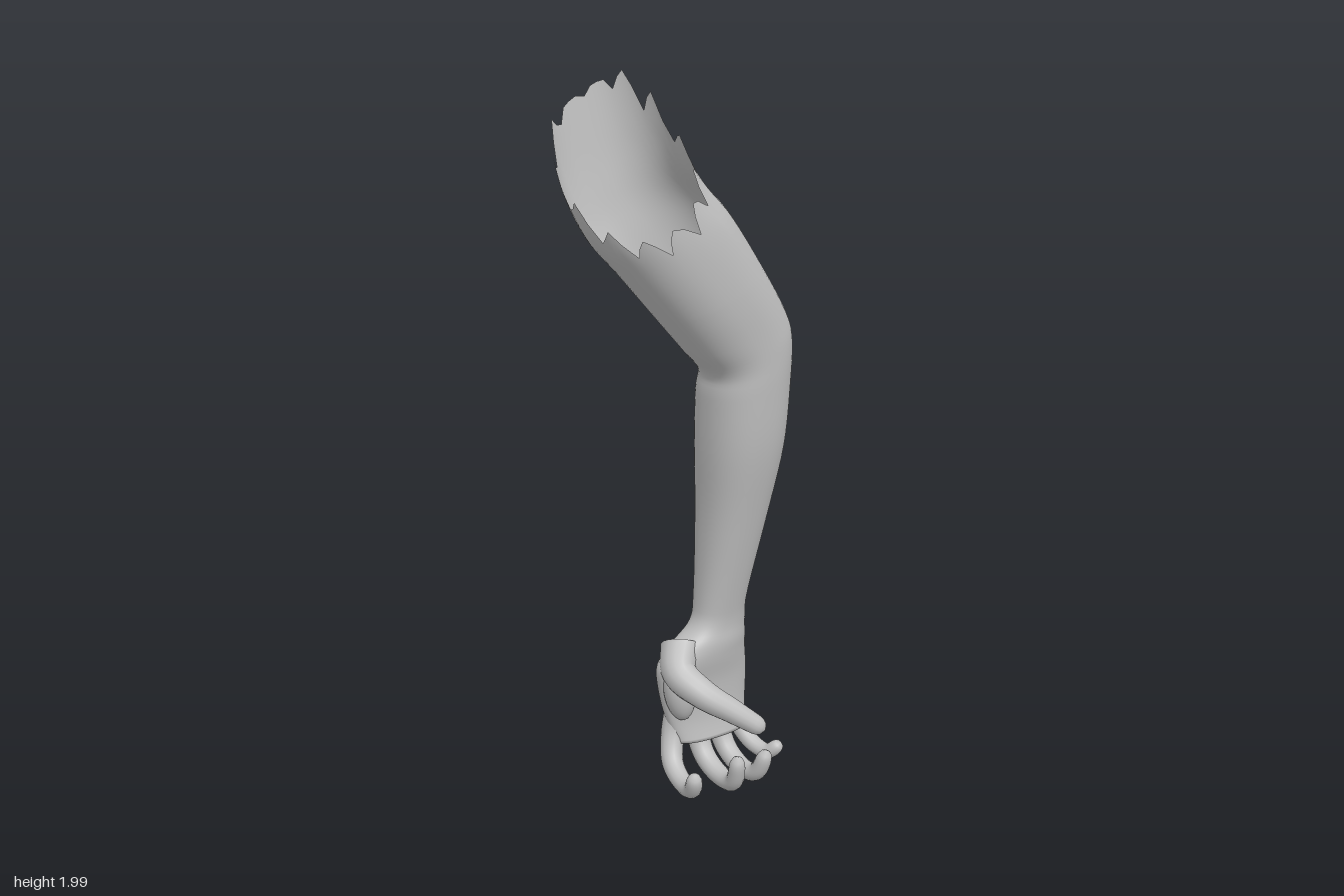
import * as THREE from 'three';
import { mergeVertices } from 'three/addons/utils/BufferGeometryUtils.js';

// Cross-sections from palm to torn end: inner x, y, outer x, y, front z, back z
const SECTIONS = [
  [0.01, 0.13, 0.24, 0.13, -0.015, -0.095],
  [-0.015, 0.2, 0.25, 0.2, -0.025, -0.12],
  [-0.04, 0.3, 0.252, 0.3, -0.02, -0.125],
  [-0.045, 0.37, 0.24, 0.38, -0.005, -0.125],
  [0.0, 0.42, 0.235, 0.425, 0.0, -0.122],
  [0.065, 0.475, 0.232, 0.48, -0.002, -0.12],
  [0.08, 0.56, 0.232, 0.56, 0.012, -0.125],
  [0.08, 0.8, 0.27, 0.8, 0.065, -0.135],
  [0.066, 1.0, 0.298, 1.0, 0.108, -0.132],
  [0.06, 1.15, 0.305, 1.18, 0.125, -0.122],
  [0.058, 1.215, 0.303, 1.3, 0.13, -0.107],
  [0.0, 1.28, 0.28, 1.375, 0.135, -0.105],
  [-0.09, 1.38, 0.2, 1.5, 0.146, -0.107],
  [-0.2, 1.505, 0.09, 1.655, 0.152, -0.112],
  [-0.28, 1.6, 0.0, 1.755, 0.148, -0.13],
  [-0.335, 1.72, -0.045, 1.86, 0.14, -0.15],
  [-0.36, 1.86, -0.08, 2.02, 0.13, -0.17],
];

// Smooth interpolation of the cross-sections
function sectionAt(u) {
  const last = SECTIONS.length - 1;
  const i = Math.min(Math.floor(u), last - 1), t = u - i;
  const row = k => SECTIONS[Math.max(0, Math.min(last, k))];
  const [a, b, c, d] = [row(i - 1), row(i), row(i + 1), row(i + 2)];
  return b.map((p, k) => p + 0.5 * t * (c[k] - a[k] + t * (2 * a[k] - 5 * p + 4 * c[k] - d[k]
    + t * (3 * (p - c[k]) + d[k] - a[k]))));
}

function armGeometry() {
  const cols = 52, rows = 80, pos = [], idx = [];
  const soft = v => Math.sign(v) * Math.pow(Math.abs(v), 0.88);
  for (let i = 0; i <= rows; i++) {
    for (let j = 0; j < cols; j++) {
      const a = (j / cols) * Math.PI * 2;
      // Torn rim: low in front, high behind, with a zigzag
      const tooth = [-0.3, 0.05, 0.35, 0.0][j % 4] * (0.8 + 0.3 * Math.sin(j * 1.7));
      const rim = Math.min(16, 14.8 - 1.2 * Math.sin(a) + 0.2 * Math.cos(a) + tooth);
      let u = (i / rows) * 16;
      if (u > 12) u = 12 + ((u - 12) / 4) * (rim - 12);
      const [lx, ly, rx, ry, zf, zb] = sectionAt(u);
      const c = soft(Math.cos(a)), s = soft(Math.sin(a));
      pos.push((lx + rx) / 2 + c * (rx - lx) / 2, (ly + ry) / 2 + c * (ry - ly) / 2,
        (zf + zb) / 2 + s * (zf - zb) / 2);
    }
  }
  for (let i = 0; i < rows; i++) {
    for (let j = 0; j < cols; j++) {
      const k = (j + 1) % cols;
      const a = i * cols + j, b = i * cols + k;
      idx.push(a, a + cols, b, b, a + cols, b + cols);
    }
  }
  // Close the palm between the knuckles
  const centre = pos.length / 3;
  pos.push(0.125, 0.11, -0.05);
  for (let j = 0; j < cols; j++) idx.push(centre, j, (j + 1) % cols);
  const g = new THREE.BufferGeometry();
  g.setAttribute('position', new THREE.Float32BufferAttribute(pos, 3));
  g.setIndex(idx);
  g.computeVertexNormals();
  return g;
}

// Tapered tube with a rounded tip
function digitGeometry(points, r0, r1) {
  const path = new THREE.CatmullRomCurve3(points.map(p => new THREE.Vector3(...p)));
  const n = 36, sides = 14, tip = 0.91;
  const g = new THREE.TubeGeometry(path, n, 1, sides);
  const p = g.attributes.position, v = new THREE.Vector3();
  for (let i = 0; i <= n; i++) {
    const t = i / n, c = path.getPointAt(t);
    let r = r0 + (r1 - r0) * t;
    if (t > tip) r *= Math.sqrt(Math.max(0, 1 - ((t - tip) / (1 - tip)) ** 2));
    for (let j = 0; j <= sides; j++) {
      const k = i * (sides + 1) + j;
      v.fromBufferAttribute(p, k).sub(c).multiplyScalar(r).add(c);
      p.setXYZ(k, v.x, v.y, v.z);
    }
  }
  g.deleteAttribute('uv');
  g.deleteAttribute('normal');
  const merged = mergeVertices(g, 1e-5);
  merged.computeVertexNormals();
  return merged;
}

export function createModel() {
  const model = new THREE.Group();
  model.name = 'arm';
  const skin = new THREE.MeshStandardMaterial({ color: 0xbfbfbf, side: THREE.DoubleSide });
  skin.name = 'grey skin';
  const add = (name, geometry) => {
    const mesh = new THREE.Mesh(geometry, skin);
    mesh.name = name;
    model.add(mesh);
  };

  add('armAndPalm', armGeometry());

  // Curled fingers and the thumb reaching across the palm
  const digits = {
    indexFinger: [[[0.035, 0.25, -0.08], [0.01, 0.15, -0.08], [-0.015, 0.08, -0.045],
      [-0.025, 0.046, 0.02], [-0.035, 0.055, 0.08], [-0.05, 0.118, 0.115]], 0.038, 0.022],
    middleFinger: [[[0.1, 0.25, -0.08], [0.095, 0.14, -0.082], [0.095, 0.07, -0.045],
      [0.097, 0.036, 0.03], [0.092, 0.05, 0.1], [0.08, 0.145, 0.138]], 0.038, 0.022],
    ringFinger: [[[0.165, 0.25, -0.08], [0.168, 0.14, -0.08], [0.173, 0.07, -0.045],
      [0.178, 0.036, 0.025], [0.18, 0.05, 0.09], [0.187, 0.13, 0.13]], 0.037, 0.022],
    littleFinger: [[[0.22, 0.25, -0.08], [0.225, 0.16, -0.08], [0.235, 0.105, -0.05],
      [0.245, 0.075, -0.005], [0.258, 0.07, 0.04], [0.28, 0.105, 0.075]], 0.033, 0.02],
    thumb: [[[0.03, 0.42, -0.07], [-0.002, 0.36, -0.03], [0.025, 0.315, 0.04],
      [0.09, 0.265, 0.095], [0.168, 0.205, 0.145]], 0.056, 0.025],
  };
  for (const [name, [points, r0, r1]] of Object.entries(digits)) {
    add(name, digitGeometry(points, r0, r1));
  }

  // Fleshy pad at the thumb root
  const pad = new THREE.SphereGeometry(1, 24, 16);
  pad.scale(0.045, 0.095, 0.045);
  pad.rotateZ(0.15);
  pad.translate(0.005, 0.3, -0.04);
  add('thumbPad', pad);

  return model;
}
